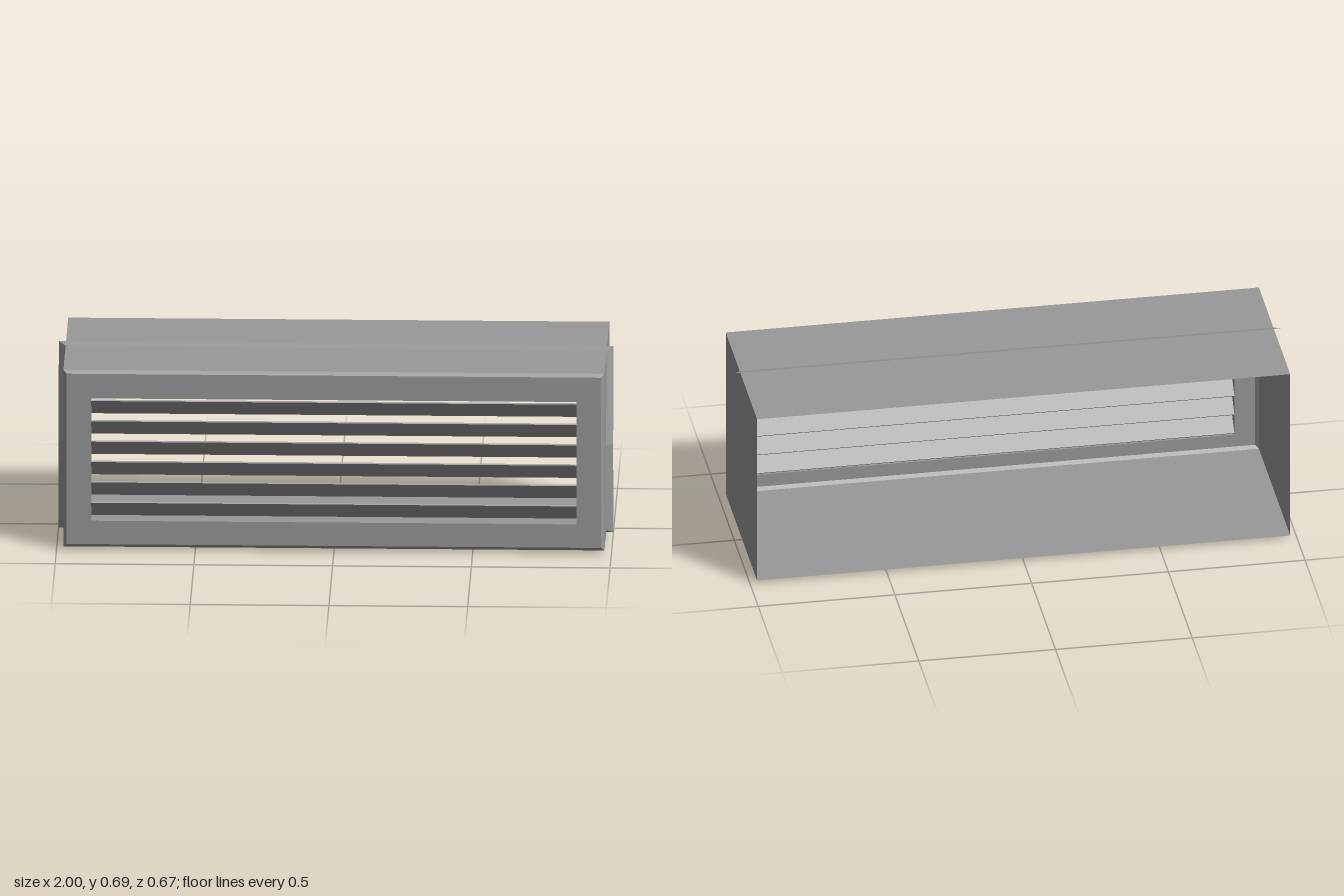
import * as THREE from 'three';

// Sheet surface spanning successive closed loops of [x, y, z] points, back to front
function loft(loops) {
  const pos = [];
  for (let k = 0; k < loops.length - 1; k++) {
    const a = loops[k], b = loops[k + 1], n = a.length;
    for (let i = 0; i < n; i++) {
      const j = (i + 1) % n;
      pos.push(...a[i], ...a[j], ...b[j], ...a[i], ...b[j], ...b[i]);
    }
  }
  const geo = new THREE.BufferGeometry();
  geo.setAttribute('position', new THREE.Float32BufferAttribute(pos, 3));
  geo.computeVertexNormals();
  return geo;
}

const rect = (hx, y0, y1, z) => [[hx, y0, z], [hx, y1, z], [-hx, y1, z], [-hx, y0, z]];

export function createModel() {
  const group = new THREE.Group();
  const metal = new THREE.MeshStandardMaterial({ color: 0x999999, side: THREE.DoubleSide });
  metal.name = 'grey metal';
  const flangeMetal = new THREE.MeshStandardMaterial({ color: 0x999999 });
  flangeMetal.name = 'grey flange metal';

  const add = (name, geo, mat = metal) => {
    const mesh = new THREE.Mesh(geo, mat);
    mesh.name = name;
    group.add(mesh);
    return mesh;
  };

  // Open-backed sleeve, chamfered front frame and short jambs of the opening
  add('sleeveAndFrame', loft([
    rect(0.975, 0.013, 0.677, -0.333),
    rect(0.975, 0.013, 0.677, 0.323),
    rect(0.963, 0.025, 0.665, 0.333),
    rect(0.875, 0.113, 0.573, 0.333),
    rect(0.875, 0.113, 0.573, 0.263),
  ]));

  // Sloping flange around the sleeve, bent forward at mid height
  const ring = (hx, y0, y1, zb, zm, zt) => [
    [hx, y0, zb], [hx, 0.342, zm], [hx, y1, zt],
    [-hx, y1, zt - 0.01], [-hx, 0.342, zm], [-hx, y0, zb],
  ];
  add('flange', loft([
    ring(1.0, 0.0, 0.686, 0.045, 0.08, 0.003),
    ring(0.975, 0.013, 0.677, 0.07, 0.106, 0.03),
  ]), flangeMetal);

  // Slanted blades, front edge high
  const bladeGeo = new THREE.BoxGeometry(1.75, 0.006, 0.092);
  for (let i = 0; i < 6; i++) {
    const blade = add('blade', bladeGeo);
    blade.position.set(0, 0.15 + i * 0.0765, 0.298);
    blade.rotation.x = -Math.PI / 4;
  }
  return group;
}
